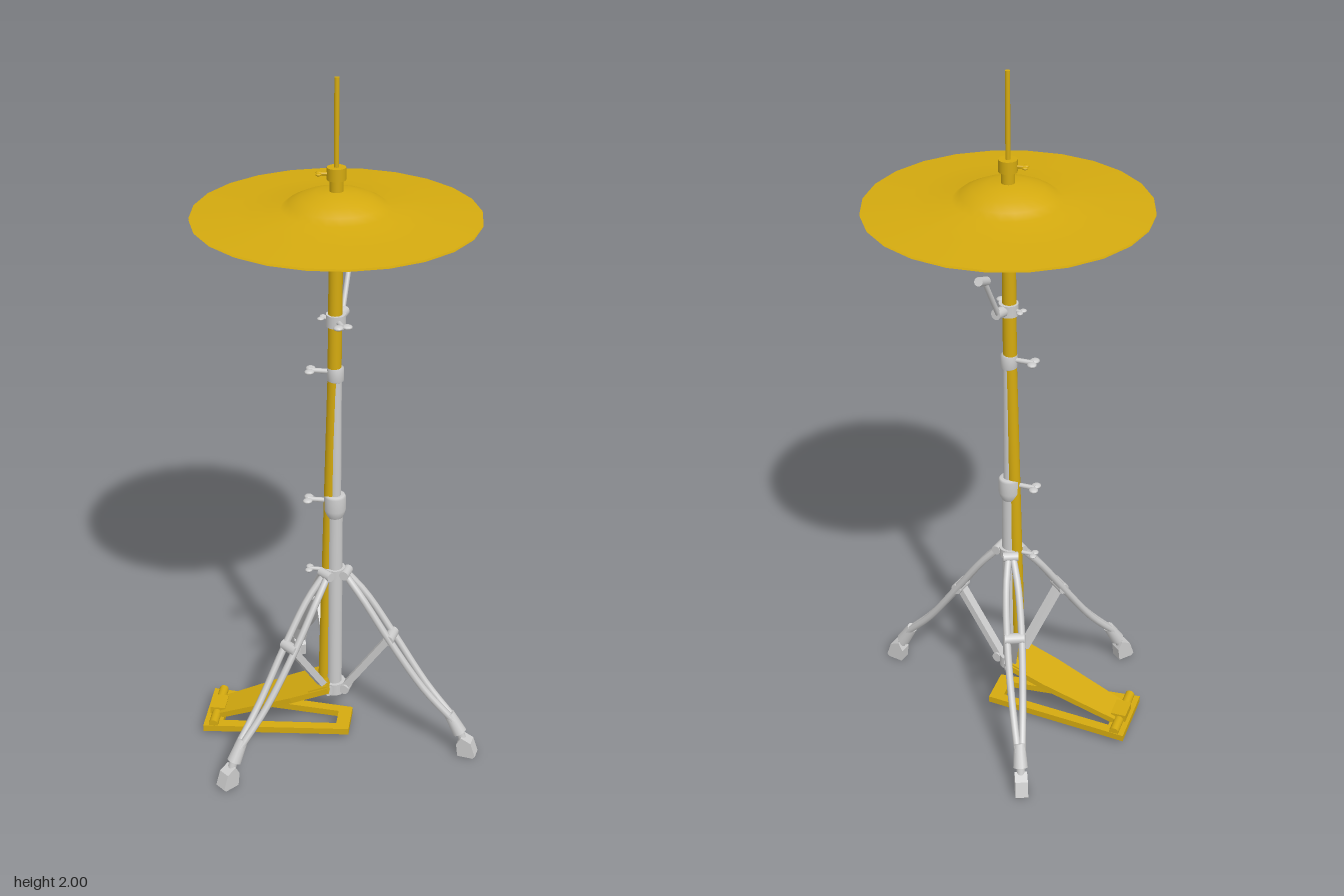
import * as THREE from 'three';

const GOLD = new THREE.MeshStandardMaterial({ color: 0xd4aa0f, side: THREE.DoubleSide });
const GREY = new THREE.MeshStandardMaterial({ color: 0xcccccc });
const V = (x, y, z) => new THREE.Vector3(x, y, z);
const AX = 0.027, AZ = 0.022; // stand axis

function add(parent, name, geo, mat, x = 0, y = 0, z = 0) {
  const m = new THREE.Mesh(geo, mat);
  m.name = name;
  m.position.set(x, y, z);
  parent.add(m);
  return m;
}

// Cylinder running from a to b
function rod(parent, name, mat, a, b, ra, rb = ra, sides = 14) {
  const d = b.clone().sub(a);
  const m = add(parent, name, new THREE.CylinderGeometry(rb, ra, d.length(), sides), mat);
  m.position.copy(a).addScaledVector(d, 0.5);
  m.quaternion.setFromUnitVectors(V(0, 1, 0), d.normalize());
  return m;
}

// Flat bar running from a to b in the local xy plane
function bar(parent, name, mat, a, b, thick, width) {
  const d = b.clone().sub(a);
  const m = add(parent, name, new THREE.BoxGeometry(d.length(), thick, width), mat);
  m.position.copy(a).addScaledVector(d, 0.5);
  m.rotation.z = Math.atan2(d.y, d.x);
  return m;
}

// Group on the stand axis whose local +x points at the given angle (x towards z)
function radial(parent, name, degrees) {
  const g = new THREE.Group();
  g.name = name;
  g.position.set(AX, 0, AZ);
  g.rotation.y = -THREE.MathUtils.degToRad(degrees);
  parent.add(g);
  return g;
}

function wingNut(parent, name, degrees, y, r, mat, size = 1) {
  const g = radial(parent, name, degrees);
  const tip = r + 0.036 * size;
  rod(g, 'bolt', mat, V(r - 0.012, y, 0), V(tip, y, 0), 0.007 * size);
  for (const s of [-1, 1]) {
    const w = add(g, 'wing', new THREE.SphereGeometry(0.015 * size, 10, 8), mat, tip, y, s * 0.012 * size);
    w.scale.set(0.9, 0.45, 1);
    w.rotation.y = s * 0.5;
  }
}

function leg(parent, degrees) {
  const g = radial(parent, 'leg', degrees);
  // Paired rails that bow apart at the brace joint
  for (const s of [-1, 1]) {
    const pts = [V(0.03, 0.56, s * 0.006), V(0.09, 0.49, s * 0.017), V(0.175, 0.365, s * 0.021),
      V(0.28, 0.215, s * 0.015), V(0.372, 0.115, s * 0.006)];
    add(g, 'legRail', new THREE.TubeGeometry(new THREE.CatmullRomCurve3(pts), 16, 0.0105, 8), GREY);
  }
  rod(g, 'railJoint', GREY, V(0.172, 0.368, -0.028), V(0.172, 0.368, 0.028), 0.016);
  rod(g, 'topPivot', GREY, V(0.034, 0.558, -0.022), V(0.034, 0.558, 0.022), 0.014);
  bar(g, 'brace', GREY, V(0.172, 0.368, 0), V(0.03, 0.155, 0), 0.02, 0.026);
  rod(g, 'lowerPivot', GREY, V(0.036, 0.158, -0.02), V(0.036, 0.158, 0.02), 0.015);
  // Foot: sleeve, neck and rubber block
  rod(g, 'footSleeve', GREY, V(0.355, 0.135, 0), V(0.39, 0.075, 0), 0.016, 0.021);
  rod(g, 'footNeck', GREY, V(0.39, 0.08, 0), V(0.402, 0.045, 0), 0.012);
  const shape = new THREE.Shape([[0.385, 0.04], [0.398, 0.066], [0.428, 0.052], [0.443, 0.008], [0.436, 0], [0.39, 0]]
    .map(p => new THREE.Vector2(...p)));
  add(g, 'rubberFoot', new THREE.ExtrudeGeometry(shape, { depth: 0.036, bevelEnabled: false }), GREY, 0, 0, -0.018);
}

// Horizontal plate cut from an outline in local x/z, top face at y = 0
function plate(parent, name, outline, hole, depth) {
  const shape = new THREE.Shape(outline.map(p => new THREE.Vector2(...p)));
  if (hole) shape.holes.push(new THREE.Path(hole.map(p => new THREE.Vector2(...p))));
  const geo = new THREE.ExtrudeGeometry(shape, { depth, bevelEnabled: false }).rotateX(Math.PI / 2);
  return add(parent, name, geo, GOLD);
}

function pedal(parent) {
  const g = radial(parent, 'pedal', -138.5);
  // Open base frame, wider at the heel
  plate(g, 'baseFrame', [[-0.05, -0.055], [0.385, -0.095], [0.385, 0.095], [-0.05, 0.055]],
    [[-0.01, -0.03], [-0.01, 0.03], [0.33, 0.06], [0.33, -0.06]], 0.02).position.y = 0.036;
  // Sloping footboard with a raised toe section
  const tilt = new THREE.Group();
  tilt.name = 'footboard';
  tilt.position.set(0.015, 0.185, 0);
  tilt.rotation.z = -Math.atan2(0.138, 0.335);
  g.add(tilt);
  plate(tilt, 'board', [[0, -0.065], [0.12, -0.065], [0.362, -0.045], [0.362, 0.045], [0.12, 0.065], [0, 0.065]], null, 0.018);
  plate(tilt, 'toePlate', [[0, -0.06], [0.06, -0.06], [0.06, 0.06], [0, 0.06]], null, 0.008).position.y = 0.005;
  // Heel hinge
  rod(g, 'heelHinge', GOLD, V(0.355, 0.04, -0.09), V(0.355, 0.04, 0.09), 0.014);
  add(g, 'heelBlock', new THREE.BoxGeometry(0.045, 0.03, 0.065), GOLD, 0.352, 0.044, 0);
}

export function createModel() {
  const root = new THREE.Group();
  root.name = 'hiHatStand';
  const lathe = (name, pts, mat, sides = 24) =>
    add(root, name, new THREE.LatheGeometry(pts.map(p => new THREE.Vector2(...p)), sides), mat, AX, 0, AZ);
  const ring = (name, r, y0, y1, mat) => rod(root, name, mat, V(AX, y0, AZ), V(AX, y1, AZ), r, r, 20);

  // Cymbal pair, mirrored about the rim plane
  for (const s of [-1, 1]) {
    const pts = [[0.381, 0.003], [0.26, 0.012], [0.145, 0.022], [0.125, 0.037], [0.095, 0.052], [0.055, 0.064], [0.012, 0.068]]
      .map(([r, y]) => [r, 1.637 + s * y]);
    lathe(s > 0 ? 'topCymbal' : 'bottomCymbal', pts, GOLD);
  }

  // Pull rod, clutch and lower cup
  ring('pullRod', 0.0065, 1.5, 2, GOLD);
  ring('clutchNeck', 0.018, 1.695, 1.74, GOLD);
  ring('clutch', 0.025, 1.735, 1.768, GOLD);
  wingNut(root, 'clutchScrew', -145, 1.75, 0.024, GOLD, 0.6);
  ring('cupNeck', 0.024, 1.54, 1.58, GOLD);
  ring('cymbalCup', 0.048, 1.505, 1.547, GOLD);

  // Tubes: telescoping column with a slightly leaning tube behind it
  rod(root, 'upperTube', GOLD, V(0.024, 1.18, 0.021), V(0.026, 1.515, 0.022), 0.019, 0.019, 20);
  rod(root, 'leaningTube', GOLD, V(0.006, 0.165, 0), V(0.024, 1.2, 0.02), 0.018, 0.018, 20);
  ring('middleTube', 0.017, 0.78, 1.19, GREY);
  ring('lowerTube', 0.022, 0.14, 0.78, GREY);

  // Collars with wing nuts
  lathe('lowerCollar', [[0.022, 0.74], [0.027, 0.75], [0.031, 0.765], [0.031, 0.805], [0.027, 0.811], [0.015, 0.811]], GREY);
  lathe('upperCollar', [[0.016, 1.163], [0.023, 1.168], [0.023, 1.205], [0.015, 1.208]], GREY);
  wingNut(root, 'lowerWingNut', -138, 0.79, 0.04, GREY);
  wingNut(root, 'upperWingNut', -138, 1.192, 0.034, GREY);

  // Tilter clamp with its angled arm
  ring('clamp', 0.027, 1.328, 1.362, GREY);
  wingNut(root, 'clampWingNut', 105, 1.345, 0.02, GREY);
  wingNut(root, 'clampBackNut', -125, 1.345, 0.015, GREY, 0.7);
  rod(root, 'clampLug', GREY, V(0.04, 1.345, 0.015), V(0.076, 1.35, -0.008), 0.015);
  rod(root, 'arm', GREY, V(0.068, 1.348, -0.006), V(0.128, 1.485, -0.055), 0.007);
  rod(root, 'armHandle', GREY, V(0.113, 1.47, -0.04), V(0.15, 1.492, -0.078), 0.012);

  // Leg hubs and tripod
  ring('upperHub', 0.03, 0.545, 0.572, GREY);
  ring('lowerHub', 0.032, 0.138, 0.175, GREY);
  wingNut(root, 'hubWingNut', -138, 0.56, 0.045, GREY, 0.8);
  for (const a of [172, 52.5, -72]) leg(root, a);

  pedal(root);
  return root;
}
